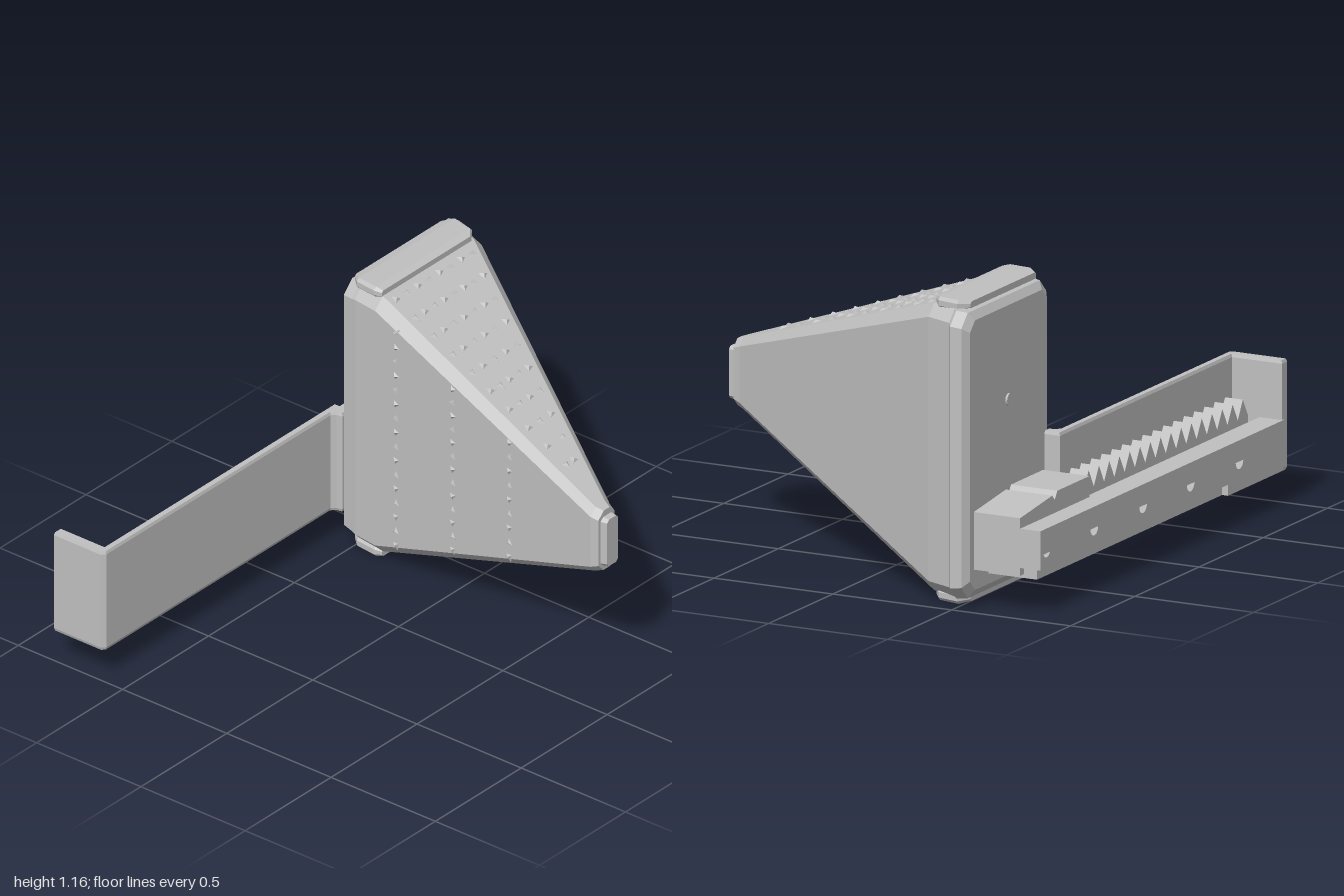
import * as THREE from 'three';

export function createModel() {
  const root = new THREE.Group();
  const grey = new THREE.MeshStandardMaterial({ color: 0xc0c0c0 });
  grey.name = 'plain grey';

  const add = (name, geo, parent = root) => {
    const m = new THREE.Mesh(geo, grey);
    m.name = name;
    parent.add(m);
    return m;
  };
  const box = (name, x0, x1, y0, y1, z0, z1) => {
    const g = new THREE.BoxGeometry(x1 - x0, y1 - y0, z1 - z0);
    g.translate((x0 + x1) / 2, (y0 + y1) / 2, (z0 + z1) / 2);
    return add(name, g);
  };
  // side outline of (z, y) points, extruded along x
  const extrudeX = (name, pts, x0, x1, holes = []) => {
    const s = new THREE.Shape(pts.map(([z, y]) => new THREE.Vector2(-z, y)));
    for (const [z, y, r] of holes) s.holes.push(new THREE.Path().absarc(-z, y, r, 0, Math.PI * 2, true));
    const g = new THREE.ExtrudeGeometry(s, { depth: x1 - x0, bevelEnabled: false, curveSegments: 8 });
    g.rotateY(Math.PI / 2);
    g.translate(x0, 0, 0);
    return add(name, g);
  };

  // chamfered rectangular cross-sections joined along x
  const loft = (name, stations) => {
    const rings = stations.map(([x, z0, z1, y0, y1, b]) => [
      [z1, y1 - b], [z1, y0 + b], [z1 - b, y0], [z0 + b, y0],
      [z0, y0 + b], [z0, y1 - b], [z0 + b, y1], [z1 - b, y1],
    ].map(([z, y]) => [x, y, z]));
    const pos = [];
    const tri = (a, b, c) => pos.push(...a, ...b, ...c);
    for (let k = 0; k + 1 < rings.length; k++) {
      for (let i = 0; i < 8; i++) {
        const j = (i + 1) % 8, a = rings[k], b = rings[k + 1];
        tri(a[i], a[j], b[j]);
        tri(a[i], b[j], b[i]);
      }
    }
    const first = rings[0], last = rings[rings.length - 1];
    for (let i = 1; i < 7; i++) {
      tri(last[0], last[i], last[i + 1]);
      tri(first[0], first[i + 1], first[i]);
    }
    const g = new THREE.BufferGeometry();
    g.setAttribute('position', new THREE.Float32BufferAttribute(pos, 3));
    g.computeVertexNormals();
    return add(name, g);
  };

  // tapered housing: rear flange, neck, long taper, small nose
  loft('housing', [
    [-0.555, -0.96, -0.36, 0.07, 1.10, 0.04],
    [-0.535, -0.99, -0.33, 0.04, 1.13, 0.05],
    [-0.49, -0.995, -0.32, 0.035, 1.135, 0.05],
    [-0.47, -0.965, -0.315, 0.035, 1.135, 0.045],
    [-0.36, -0.92, -0.30, 0.035, 1.135, 0.045],
    [0.78, -0.285, -0.17, 0.45, 0.725, 0.03],
    [0.81, -0.275, -0.18, 0.46, 0.715, 0.03],
  ]);
  loft('nose', [
    [0.80, -0.27, -0.19, 0.48, 0.69, 0.015],
    [0.835, -0.265, -0.20, 0.485, 0.685, 0.012],
  ]);

  // rounded pads above and below the rear flange
  for (const [a, b] of [[1.12, 1.165], [0.005, 0.05]]) {
    loft('edgePad', [
      [-0.515, -0.88, -0.37, a + 0.008, b - 0.008, 0.008],
      [-0.48, -0.92, -0.34, a, b, 0.012],
      [-0.39, -0.90, -0.33, a, b, 0.012],
      [-0.36, -0.86, -0.34, a + 0.008, b - 0.008, 0.008],
    ]);
  }

  // textured rows of tiny studs on the tapered faces
  const studs = new THREE.Group();
  studs.name = 'surfaceTexture';
  root.add(studs);
  const studGeo = new THREE.ConeGeometry(0.026, 0.014, 3).toNonIndexed();
  studGeo.computeVertexNormals();
  const up = new THREE.Vector3(0, 1, 0);
  const stud = (x, y, z, normal, spin) => {
    const m = add('stud', studGeo, studs);
    m.position.set(x, y, z);
    m.quaternion.setFromUnitVectors(up, normal);
    m.rotateY(spin);
  };
  const t = (x) => (x + 0.36) / 1.14;
  const topY = (x) => 1.135 - 0.41 * t(x);
  const frontZ = (x) => -0.30 + 0.13 * t(x);
  const backZ = (x) => -0.92 + 0.635 * t(x);
  const topN = new THREE.Vector3(0.34, 0.94, 0).normalize();
  const bottomN = new THREE.Vector3(0.34, -0.94, 0).normalize();
  const frontN = new THREE.Vector3(-0.113, 0, 0.99).normalize();
  for (let r = 0; r < 10; r++) {
    const x = -0.32 + r * 0.1;
    const z0 = backZ(x) + 0.08, z1 = frontZ(x) - 0.08;
    const n = Math.max(1, Math.round((z1 - z0) / 0.06));
    for (let i = 0; i <= n; i++) {
      const z = z0 + (z1 - z0) * i / n;
      stud(x, topY(x) + 0.004, z, topN, i + r);
      stud(x, 1.17 - topY(x) - 0.004, z, bottomN, i + r);
    }
  }
  for (const [x, y0, y1] of [[-0.25, 0.13, 1.04], [0.05, 0.24, 0.93], [0.35, 0.34, 0.83]]) {
    const n = Math.round((y1 - y0) / 0.06);
    for (let i = 0; i <= n; i++) stud(x, y0 + (y1 - y0) * i / n, frontZ(x) + 0.002, frontN, i);
  }

  // tall side plate with end wall and a short flange against the housing
  const wall = new THREE.Shape([
    [-0.83, 1], [-0.605, 1], [-0.59, 0.985], [-0.59, -0.32], [-0.575, -0.335], [-0.55, -0.34],
    [-0.55, -0.38], [-0.62, -0.38], [-0.62, 0.96], [-0.83, 0.96],
  ].map(([x, z]) => new THREE.Vector2(x, -z)));
  const wallGeo = new THREE.ExtrudeGeometry(wall, { depth: 0.40, bevelEnabled: true, bevelSize: 0.004, bevelThickness: 0.012, bevelOffset: -0.004, bevelSegments: 1 });
  wallGeo.rotateX(-Math.PI / 2);
  wallGeo.translate(0, 0.145, 0);
  add('sideWall', wallGeo);

  // floor of the channel with a wider foot near the end wall
  box('channelFloor', -0.805, -0.60, 0.135, 0.19, -0.90, 0.97);
  box('foot', -0.83, -0.60, 0.135, 0.19, 0.54, 0.97);

  // drilled rail
  const holes = [-0.88, -0.51, -0.13, 0.24, 0.62].map((z) => [z, 0.25, 0.03]);
  extrudeX('drilledRail', [[-0.93, 0.18], [0.97, 0.18], [0.97, 0.33], [-0.93, 0.33]], -0.835, -0.735, holes);

  // toothed rack
  const teeth = [[0.89, 0.18], [0.89, 0.35]];
  for (let i = 0; i < 16; i++) {
    const z = 0.89 - i * 0.08;
    teeth.push([z - 0.04, 0.42], [z - 0.08, 0.35]);
  }
  teeth.push([-0.39, 0.18]);
  extrudeX('toothedRack', teeth, -0.725, -0.65);

  // clamp blocks between rail and housing
  extrudeX('frontClamp', [[-0.39, 0.15], [-0.39, 0.41], [-0.64, 0.41], [-0.66, 0.38], [-0.66, 0.15]], -0.75, -0.55);
  extrudeX('rearClamp', [[-0.66, 0.15], [-0.66, 0.38], [-0.68, 0.40], [-0.93, 0.37], [-0.93, 0.15]], -0.75, -0.55);

  // small screw on the rear face of the housing
  const screw = new THREE.CylinderGeometry(0.025, 0.025, 0.012, 12);
  screw.rotateZ(Math.PI / 2);
  screw.translate(-0.557, 0.74, -0.66);
  add('screw', screw);

  return root;
}
